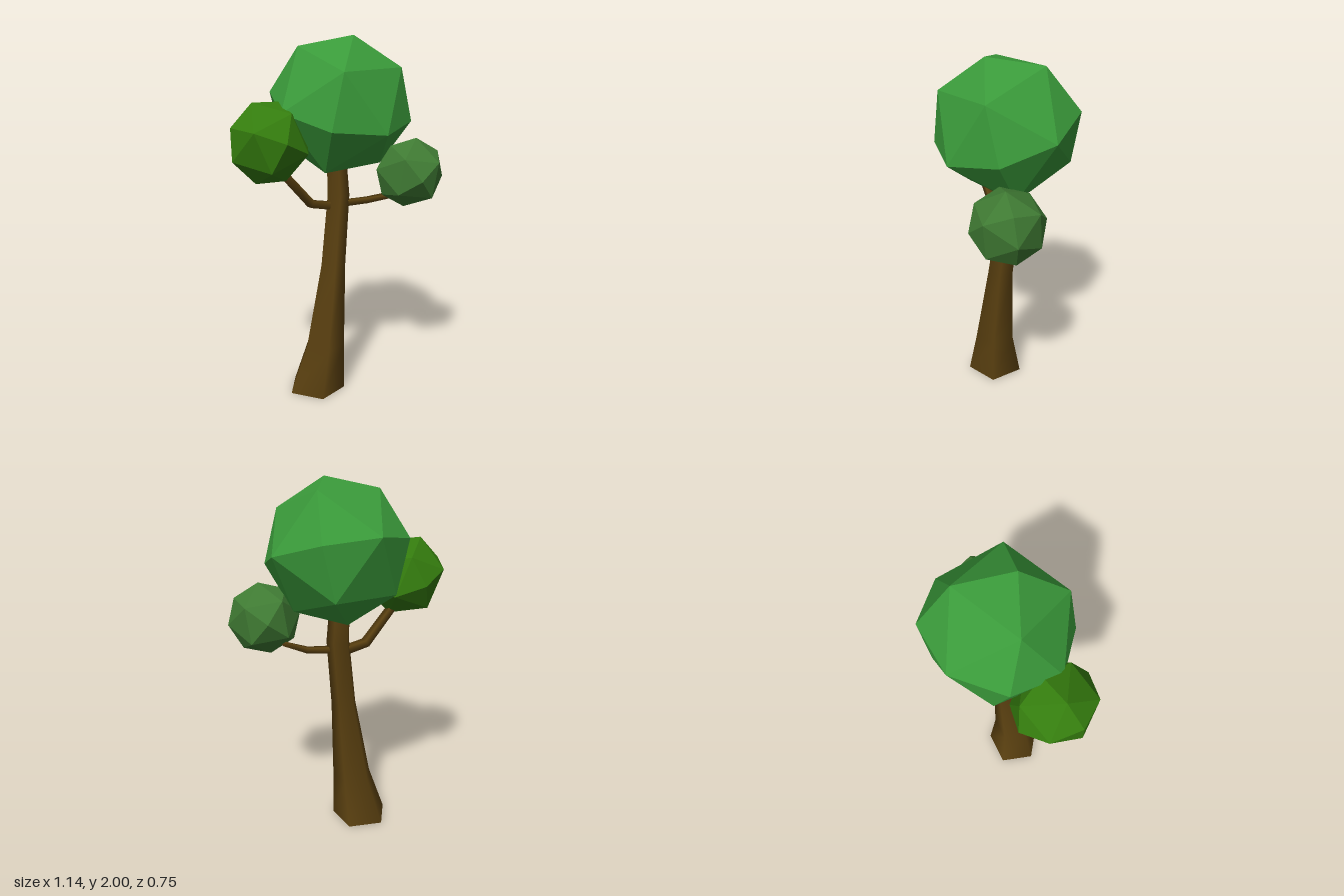
import * as THREE from 'three';

const V = (a) => new THREE.Vector3(...a);

// Faceted leaf ball: once-divided octahedron, turned so two of its axes point along a and b
function leafBall(name, color, center, radius, a, b) {
  const x = V(a).normalize();
  const z = x.clone().cross(V(b)).normalize();
  const y = z.clone().cross(x);
  const mesh = new THREE.Mesh(
    new THREE.OctahedronGeometry(radius, 1),
    new THREE.MeshStandardMaterial({ color, flatShading: true })
  );
  mesh.quaternion.setFromRotationMatrix(new THREE.Matrix4().makeBasis(x, y, z));
  mesh.position.set(...center);
  mesh.name = name;
  return mesh;
}

// Tapered limb through rings [x, y, z, radius]; rings lie flat when level is true
function limb(name, material, rings, sides, phase, level) {
  const centers = rings.map((r) => V(r.slice(0, 3)));
  const pos = [], index = [];
  rings.forEach((ring, i) => {
    const n = level ? V([0, 1, 0])
      : centers[Math.min(i + 1, rings.length - 1)].clone().sub(centers[Math.max(i - 1, 0)]).normalize();
    const u = level ? V([1, 0, 0]) : V([0, 0, 1]);
    u.addScaledVector(n, -u.dot(n)).normalize();
    const v = u.clone().cross(n);
    for (let j = 0; j < sides; j++) {
      const t = phase + (j / sides) * Math.PI * 2;
      const p = centers[i].clone()
        .addScaledVector(u, ring[3] * Math.cos(t))
        .addScaledVector(v, ring[3] * Math.sin(t));
      pos.push(p.x, p.y, p.z);
    }
  });
  for (let i = 0; i < rings.length - 1; i++) {
    for (let j = 0; j < sides; j++) {
      const k = (j + 1) % sides;
      const a = i * sides + j, b = i * sides + k, c = a + sides, d = b + sides;
      index.push(a, c, b, b, c, d);
    }
  }
  // End caps get their own corners so their rims stay sharp
  const last = (rings.length - 1) * sides;
  for (const [start, flip] of [[0, false], [last, true]]) {
    const base = pos.length / 3;
    pos.push(...pos.slice(start * 3, (start + sides) * 3));
    for (let j = 1; j < sides - 1; j++) {
      index.push(base, base + (flip ? j + 1 : j), base + (flip ? j : j + 1));
    }
  }
  const geometry = new THREE.BufferGeometry();
  geometry.setAttribute('position', new THREE.Float32BufferAttribute(pos, 3));
  geometry.setIndex(index);
  geometry.computeVertexNormals();
  const mesh = new THREE.Mesh(geometry, material);
  mesh.name = name;
  return mesh;
}

export function createModel() {
  const tree = new THREE.Group();
  tree.name = 'tree';
  const bark = new THREE.MeshStandardMaterial({ color: 0x5a4010 });

  // Five-sided trunk, flared at the foot and leaning to +x
  tree.add(limb('trunk', bark, [
    [-0.1, 0, -0.022, 0.166],
    [-0.06, 0.27, 0.003, 0.116],
    [0.0, 0.75, 0.0, 0.073],
    [0.05, 1.14, -0.024, 0.066],
    [0.038, 1.36, -0.025, 0.058],
  ], 5, Math.PI / 5, true));

  // Side branches
  tree.add(limb('rightBranch', bark, [
    [0.05, 1.09, -0.01, 0.024],
    [0.21, 1.1, 0.035, 0.022],
    [0.31, 1.13, 0.11, 0.02],
    [0.37, 1.22, 0.17, 0.018],
  ], 4, Math.PI / 4, false));
  tree.add(limb('leftBranch', bark, [
    [0.04, 1.075, -0.02, 0.03],
    [-0.12, 1.105, -0.03, 0.03],
    [-0.27, 1.27, -0.035, 0.027],
    [-0.33, 1.38, -0.037, 0.025],
  ], 4, Math.PI / 4, false));

  // Foliage
  tree.add(leafBall('crown', 0x3a9a3a, [0.05, 1.63, 0], 0.39,
    [0, 0.949, 0.316], [0.616, 0.248, -0.751]));
  tree.add(leafBall('leftFoliage', 0x347c0e, [-0.365, 1.46, -0.037], 0.225,
    [-0.92, 0.385, -0.09], [0.37, 0.9, -0.04]));
  tree.add(leafBall('rightFoliage', 0x3f7a33, [0.385, 1.265, 0.195], 0.197,
    [1.04, 0.855, 0.43], [-0.84, 1.115, -0.17]));

  return tree;
}
